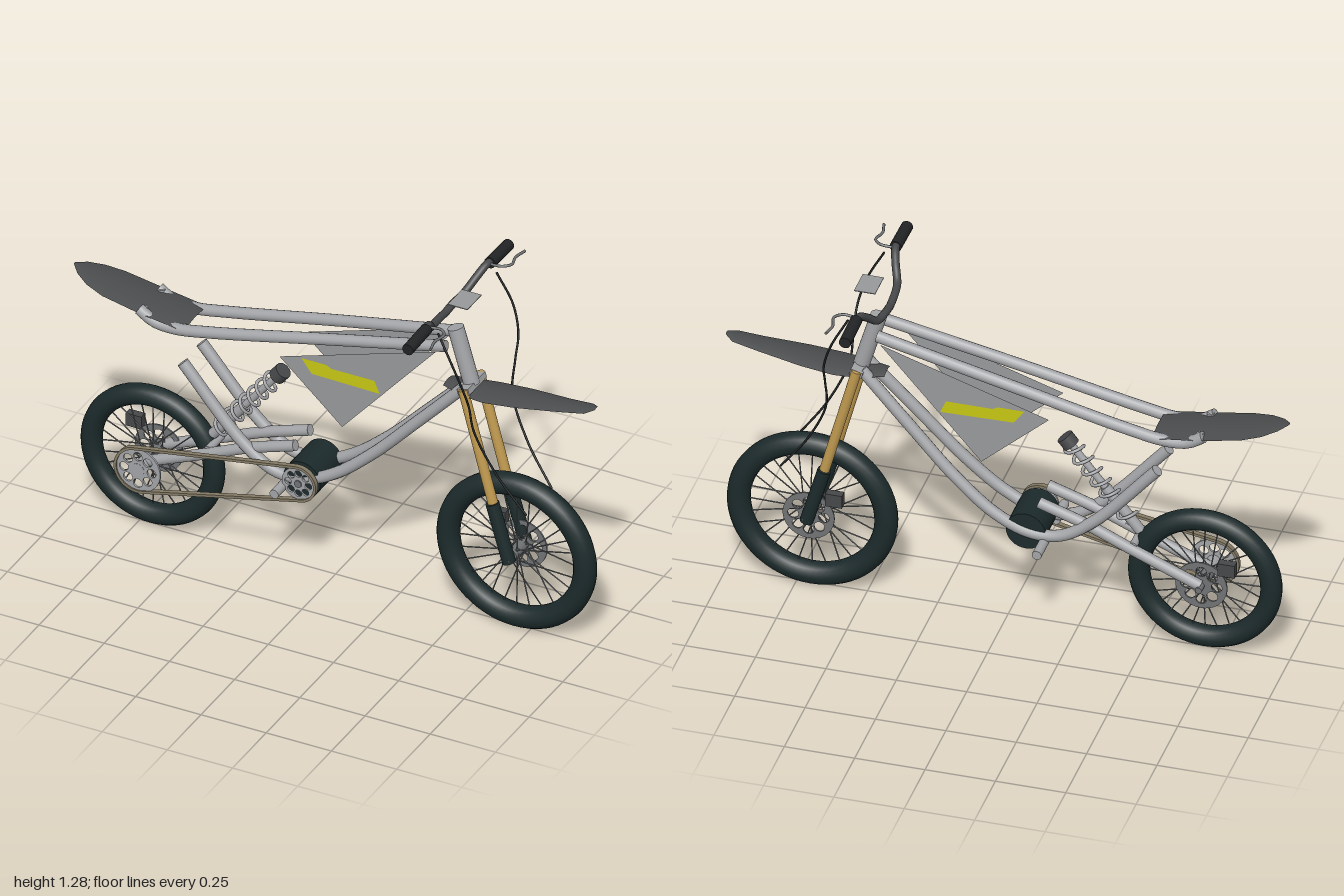
import * as THREE from 'three';

const mat = (name, color, double) => {
  const m = new THREE.MeshStandardMaterial({ color });
  m.name = name;
  if (double) m.side = THREE.DoubleSide;
  return m;
};
const V = (x, y, z) => new THREE.Vector3(x, y, z);

export function createModel() {
  const M = {
    rubber: mat('rubber', 0x1c2a2b),
    frame: mat('frame grey', 0xa3a4a7),
    gold: mat('fork gold', 0xc09a50),
    fender: mat('fender grey', 0x4a4c4d, true),
    bar: mat('bar grey', 0x47484a),
    black: mat('grip black', 0x222425),
    chain: mat('chain brown', 0x857b66),
    plate: mat('plate grey', 0x97999b, true),
    yellow: mat('yellow', 0xc6c814, true),
    steel: mat('steel', 0x707375),
  };
  const root = new THREE.Group();
  root.name = 'motorbike';
  const add = (name, geo, m, parent = root) => {
    const mesh = new THREE.Mesh(geo, m);
    mesh.name = name;
    parent.add(mesh);
    return mesh;
  };
  // straight round bar between two points
  const rod = (name, a, b, r, m, parent = root, r2 = r, sides = 20) => {
    const d = b.clone().sub(a);
    const mesh = add(name, new THREE.CylinderGeometry(r2, r, d.length(), sides), m, parent);
    mesh.position.copy(a).add(b).multiplyScalar(0.5);
    mesh.quaternion.setFromUnitVectors(V(0, 1, 0), d.normalize());
    return mesh;
  };
  // bent tube with closed ends
  const tube = (name, pts, r, m, sides = 14, seg = 48) => {
    const c = new THREE.CatmullRomCurve3(pts.map(p => V(...p)), false, 'centripetal');
    add(name, new THREE.TubeGeometry(c, seg, r, sides), m);
    for (const t of [0, 1]) {
      const cap = add(name + 'End', new THREE.CircleGeometry(r, sides), m);
      cap.position.copy(c.getPoint(t));
      cap.quaternion.setFromUnitVectors(V(0, 0, 1), c.getTangent(t).multiplyScalar(t ? 1 : -1));
    }
  };
  // flat disc with a ring of round holes
  const holedDisc = (name, r, holeAt, holeR, n, depth, m, parent, z) => {
    const s = new THREE.Shape().absarc(0, 0, r, 0, Math.PI * 2);
    for (let i = 0; i < n; i++) {
      const a = i / n * Math.PI * 2;
      s.holes.push(new THREE.Path().absarc(Math.cos(a) * holeAt, Math.sin(a) * holeAt, holeR, 0, Math.PI * 2));
    }
    const g = new THREE.ExtrudeGeometry(s, { depth, bevelEnabled: false, curveSegments: 20 });
    const mesh = add(name, g.translate(0, 0, -depth / 2), m, parent);
    mesh.position.z = z;
    return mesh;
  };
  // arched sheet lofted through [x, y, halfWidth] stations
  const sheet = (name, stations, drop) => {
    const pos = [], idx = [], n = 8;
    stations.forEach(([x, y, w], i) => {
      for (let j = 0; j <= n; j++) {
        const t = j / n * 2 - 1;
        pos.push(x, y - drop * t * t * (w / 0.09), t * w);
        if (i && j) {
          const b = i * (n + 1) + j, a = b - n - 1;
          idx.push(a - 1, b - 1, a, a, b - 1, b);
        }
      }
    });
    const g = new THREE.BufferGeometry();
    g.setAttribute('position', new THREE.Float32BufferAttribute(pos, 3));
    g.setIndex(idx);
    g.computeVertexNormals();
    add(name, g, M.fender);
  };

  // wheels with tyre, rim, hub, spokes, brake disc and caliper
  const wheel = (name, x, y, R, t) => {
    const g = new THREE.Group();
    g.name = name;
    g.position.set(x, y, 0);
    root.add(g);
    add('tyre', new THREE.TorusGeometry(R, t, 16, 64), M.rubber, g);
    rod('hub', V(0, 0, -0.045), V(0, 0, 0.045), 0.022, M.steel, g);
    rod('axle', V(0, 0, -0.085), V(0, 0, 0.085), 0.012, M.steel, g);
    for (let i = 0; i < 28; i++) {
      const a = i / 28 * Math.PI * 2, b = a + (i % 4 < 2 ? 0.9 : -0.9), z = i % 2 ? 0.03 : -0.03;
      rod('spoke', V(Math.cos(b) * 0.022, Math.sin(b) * 0.022, z),
        V(Math.cos(a) * (R - t * 0.9), Math.sin(a) * (R - t * 0.9), 0), 0.0025, M.steel, g, 0.0025, 5);
    }
    holedDisc('brakeDisc', 0.092, 0.055, 0.019, 8, 0.006, M.steel, g, -0.047);
    add('caliper', new THREE.BoxGeometry(0.06, 0.05, 0.03), M.bar, g).position.set(-0.093, 0.085, -0.05);
  };
  wheel('frontWheel', 0.695, 0.303, 0.262, 0.041);
  wheel('rearWheel', -0.7, 0.28, 0.235, 0.038);

  // head tube and fork clamp
  rod('headTube', V(0.522, 0.925, 0), V(0.46, 1.135, 0), 0.029, M.frame);
  const clamp = add('forkClamp', new THREE.BoxGeometry(0.045, 0.022, 0.13), M.frame);
  clamp.position.set(0.522, 0.925, 0);
  clamp.rotation.z = 0.29;

  for (const s of [-1, 1]) {
    // fork legs
    rod('forkTube', V(0.52, 0.935, s * 0.061), V(0.645, 0.47, s * 0.061), 0.018, M.gold);
    rod('forkLower', V(0.634, 0.51, s * 0.064), V(0.698, 0.29, s * 0.064), 0.024, M.rubber);
    // frame tubes
    tube('topTube', [[0.45, 1.085, s * 0.053], [0, 0.987, s * 0.065], [-0.45, 0.887, s * 0.073],
      [-0.58, 0.865, s * 0.073], [-0.66, 0.872, s * 0.073], [-0.715, 0.905, s * 0.073]], 0.021, M.frame);
    tube('downTube', [[0.51, 0.925, s * 0.035], [0.33, 0.735, s * 0.05], [0.17, 0.57, s * 0.062],
      [0.03, 0.455, s * 0.07], [-0.09, 0.4, s * 0.07], [-0.2, 0.402, s * 0.07],
      [-0.32, 0.48, s * 0.07], [-0.55, 0.735, s * 0.07]], 0.021, M.frame, 14, 64);
    tube('swingArm', [[-0.7, 0.285, s * 0.06], [-0.45, 0.39, s * 0.058], [-0.3, 0.455, s * 0.056],
      [-0.125, 0.515, s * 0.055]], 0.02, M.frame);
    rod('footPeg', V(-0.15, 0.373, s * 0.06), V(-0.15, 0.373, s * 0.167), 0.017, M.frame);
    // side plate with stripe
    const poly = pts => new THREE.ShapeGeometry(new THREE.Shape(pts.map(p => new THREE.Vector2(...p))));
    add('sidePlate', poly([[-0.17, 0.88], [0.07, 0.665], [0.43, 1.075]]), M.plate).position.z = s * 0.087;
    add('plateStripe', poly([[-0.085, 0.9], [-0.045, 0.848], [0.215, 0.843], [0.195, 0.89], [0.03, 0.89],
      [0.01, 0.9]]), M.yellow).position.z = s * 0.09;
    // handlebar half, grip, lever and cable
    tube('handlebar', [[0.42, 1.18, 0], [0.422, 1.187, s * 0.06], [0.43, 1.195, s * 0.12],
      [0.45, 1.235, s * 0.17], [0.465, 1.264, s * 0.215], [0.47, 1.266, s * 0.25],
      [0.47, 1.26, s * 0.35]], 0.014, M.bar, 12);
    rod('grip', V(0.47, 1.263, s * 0.235), V(0.47, 1.258, s * 0.375), 0.021, M.black);
    tube('lever', [[0.475, 1.266, s * 0.225], [0.52, 1.27, s * 0.225], [0.545, 1.27, s * 0.25],
      [0.535, 1.268, s * 0.3], [0.545, 1.268, s * 0.35]], 0.005, M.steel, 8);
    tube('cable', [[0.505, 1.245, s * 0.217], [0.565, 1.13, s * 0.224], [0.595, 1.03, s * 0.205],
      [0.6, 0.95, s * 0.173], [0.605, 0.83, s * 0.142], [0.675, 0.67, s * 0.117],
      [0.78, 0.52, s * 0.095]], 0.004, M.black, 8);
    // seat bolts
    rod('seatBolt', V(-0.7, 0.89, s * 0.065), V(-0.7, 0.912, s * 0.065), 0.013, M.frame);
  }

  // display plate
  add('displayPlate', new THREE.BoxGeometry(0.075, 0.003, 0.105), M.plate).position.set(0.495, 1.255, 0);

  // fenders
  sheet('frontFender', [[0.43, 0.917, 0.035], [0.52, 0.92, 0.062], [0.6, 0.925, 0.073], [0.72, 0.936, 0.068],
    [0.88, 0.95, 0.047], [0.97, 0.961, 0.036], [1, 0.966, 0.012]], 0.018);
  sheet('rearFender', [[-1, 0.966, 0.006], [-0.97, 0.961, 0.04], [-0.92, 0.951, 0.07], [-0.85, 0.937, 0.088],
    [-0.7, 0.91, 0.092], [-0.535, 0.886, 0.09]], 0.012);

  // rear shock
  const a = V(-0.47, 0.43, 0), b = V(-0.2, 0.765, 0);
  const shock = new THREE.Group();
  shock.name = 'shock';
  shock.position.copy(a);
  shock.quaternion.setFromUnitVectors(V(0, 1, 0), b.clone().sub(a).normalize());
  root.add(shock);
  rod('shockBody', V(0, 0, 0), V(0, 0.2, 0), 0.019, M.frame, shock);
  rod('shockShaft', V(0, 0.2, 0), V(0, 0.4, 0), 0.013, M.frame, shock);
  rod('shockCap', V(0, 0.39, 0), V(0, 0.43, 0), 0.03, M.bar, shock);
  const coil = [];
  for (let i = 0; i <= 140; i++) {
    const t = i / 140, w = t * 7 * Math.PI * 2;
    coil.push(V(Math.cos(w) * 0.031, 0.04 + t * 0.35, Math.sin(w) * 0.031));
  }
  add('spring', new THREE.TubeGeometry(new THREE.CatmullRomCurve3(coil), 200, 0.006, 8), M.frame, shock);
  rod('shockMount', V(-0.46, 0.4, -0.058), V(-0.46, 0.4, 0.058), 0.014, M.frame);

  // motor, sprockets and chain
  rod('motor', V(-0.085, 0.405, -0.08), V(-0.085, 0.405, 0.085), 0.07, M.rubber, root, 0.07, 32);
  rod('motorShaft', V(-0.085, 0.405, 0.08), V(-0.085, 0.405, 0.118), 0.014, M.steel);
  rod('sprocketCarrier', V(-0.7, 0.28, 0.04), V(-0.7, 0.28, 0.115), 0.025, M.frame);
  holedDisc('rearSprocket', 0.086, 0.053, 0.017, 8, 0.008, M.frame, root, 0.11).position.set(-0.7, 0.28, 0.11);
  holedDisc('motorSprocket', 0.062, 0.039, 0.013, 8, 0.008, M.frame, root, 0.11).position.set(-0.085, 0.405, 0.11);
  const outline = (path, off) => {
    const r1 = 0.085 + off, r2 = 0.065 + off, dx = 0.615, dy = 0.125;
    const ang = Math.atan2(dy, dx), k = Math.acos((r1 - r2) / Math.hypot(dx, dy));
    path.absarc(-0.7, 0.28, r1, ang + k, ang - k + Math.PI * 2);
    path.absarc(-0.085, 0.405, r2, ang - k, ang + k);
    path.closePath();
    return path;
  };
  const loop = outline(new THREE.Shape(), 0.005);
  loop.holes.push(outline(new THREE.Path(), -0.005));
  add('chain', new THREE.ExtrudeGeometry(loop, { depth: 0.018, bevelEnabled: false, curveSegments: 32 }), M.chain)
    .position.z = 0.101;

  return root;
}
